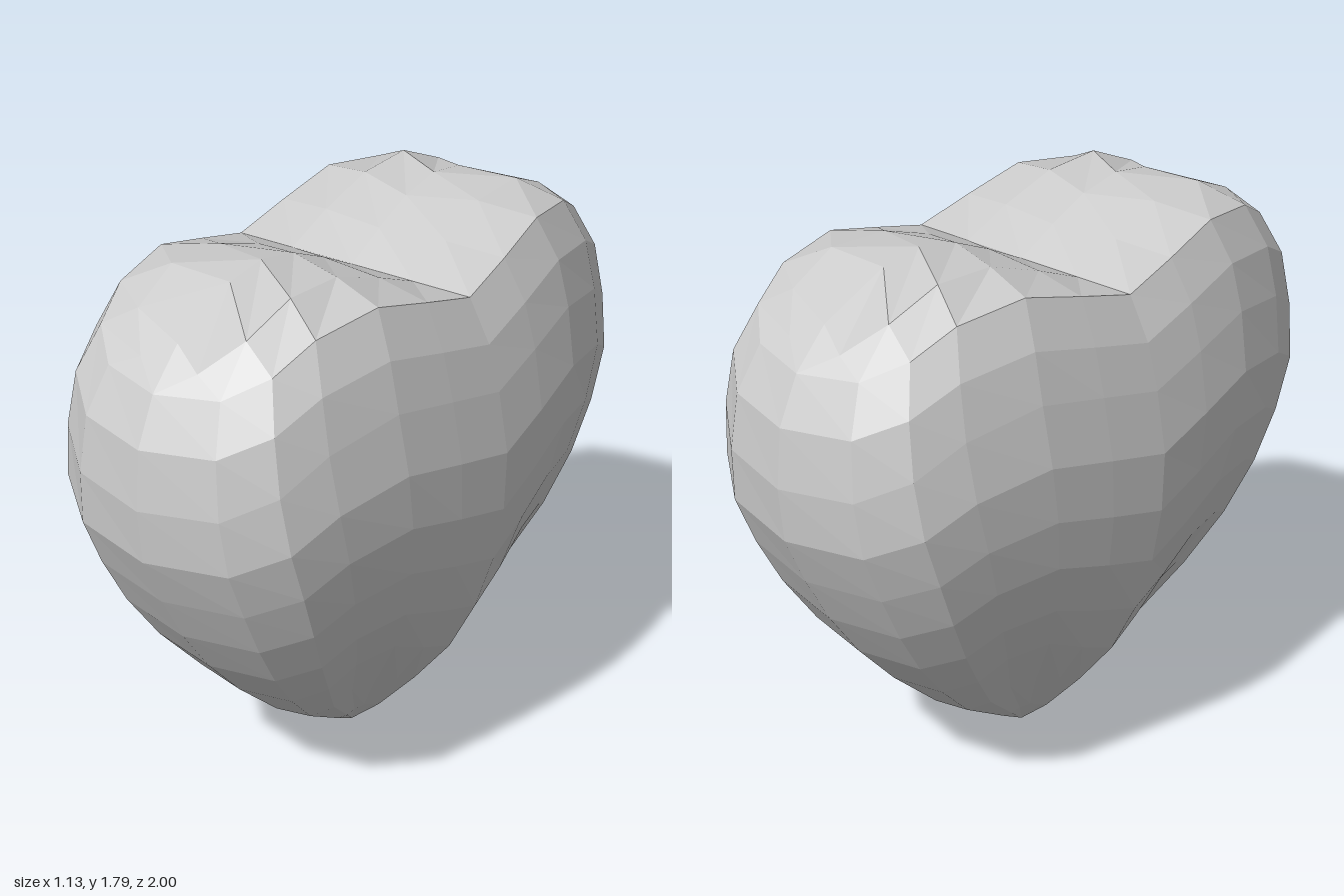
import * as THREE from 'three';

// Rings from bottom to rim: y at the side middle, y at the lobe end, half width x, half depth z
const RINGS = [
  [0, 0, 0, 0],
  [0.10, 0.10, 0.11, 0.155],
  [0.26, 0.26, 0.25, 0.40],
  [0.43, 0.43, 0.38, 0.58],
  [0.61, 0.59, 0.47, 0.72],
  [0.80, 0.75, 0.53, 0.83],
  [0.98, 0.91, 0.56, 0.915],
  [1.17, 1.07, 0.565, 0.985],
  [1.36, 1.24, 0.53, 1.0],
  [1.50, 1.42, 0.49, 0.98],
  [1.63, 1.56, 0.42, 0.91],
];

// Quarter outline of a ring, from the side middle to the lobe end
const FX = [1, 0.97, 0.92, 0.82, 0.72, 0.47, 0];
const FZ = [0, 0.22, 0.45, 0.70, 0.85, 0.95, 1];
const HUMP = [0, 0.055, 0.12, 0.115, 0.06, 0.01, 0];

// Lobe top rows: z and y of the centre line, then x, z and y of the line beside it
const CAP = [
  [0, 1.63, 0.22, 0, 1.63],
  [0.14, 1.70, 0.22, 0.17, 1.70],
  [0.28, 1.76, 0.21, 0.36, 1.765],
  [0.43, 1.79, 0.21, 0.57, 1.775],
  [0.57, 1.77, 0.19, 0.74, 1.705],
  [0.80, 1.67, 0.10, 0.84, 1.62],
  [0.91, 1.56, 0, 0.91, 1.56],
];

function ringPoint(k, q, sx, sz) {
  const [y0, y1, hx, hz] = RINGS[k];
  const lift = HUMP[q] * Math.min(1, y0 / 0.35);
  const y = y0 + (y1 - y0) * FZ[q] ** 2 + lift;
  return [sx * hx * FX[q], y, sz * hz * FZ[q]];
}

// Full ring of 24 points, running from +x towards +z
function ring(k) {
  const points = [];
  for (let i = 0; i < 24; i++) {
    const quarter = Math.floor(i / 6), step = i % 6;
    const q = quarter % 2 ? 6 - step : step;
    const sx = quarter === 0 || quarter === 3 ? 1 : -1;
    points.push(ringPoint(k, q, sx, quarter < 2 ? 1 : -1));
  }
  return points;
}

// Row across a lobe top, from -x to +x
function capRow(j, sz) {
  const [cz, cy, mx, mz, my] = CAP[j];
  const top = RINGS.length - 1;
  return [
    ringPoint(top, j, -1, sz),
    [-mx, my, sz * mz],
    [0, cy, sz * cz],
    [mx, my, sz * mz],
    ringPoint(top, j, 1, sz),
  ];
}

function facetedMesh(name, quads) {
  const positions = [];
  const corner = () => new THREE.Vector3();
  const tri = new THREE.Triangle(corner(), corner(), corner());
  for (const [a, b, c, d] of quads) {
    for (const t of [[a, b, c], [a, c, d]]) {
      tri.a.fromArray(t[0]);
      tri.b.fromArray(t[1]);
      tri.c.fromArray(t[2]);
      if (tri.getArea() > 1e-7) positions.push(...t.flat());
    }
  }
  const geometry = new THREE.BufferGeometry();
  geometry.setAttribute('position', new THREE.Float32BufferAttribute(positions, 3));
  geometry.computeVertexNormals();
  const material = new THREE.MeshStandardMaterial({ color: 0xcccccc, flatShading: true });
  const mesh = new THREE.Mesh(geometry, material);
  mesh.name = name;
  return mesh;
}

export function createModel() {
  const group = new THREE.Group();
  group.name = 'heart';

  // Body: stacked rings from the bottom point to the upper rim
  const body = [];
  for (let k = 0; k < RINGS.length - 1; k++) {
    const low = ring(k), high = ring(k + 1);
    for (let i = 0; i < 24; i++) {
      const n = (i + 1) % 24;
      body.push([low[i], high[i], high[n], low[n]]);
    }
  }
  group.add(facetedMesh('heartBody', body));

  // Lobe tops: mirrored on either side of the central crease
  for (const sz of [1, -1]) {
    const lobe = [];
    for (let j = 0; j < CAP.length - 1; j++) {
      const near = capRow(j, sz), far = capRow(j + 1, sz);
      for (let i = 0; i < 4; i++) {
        const quad = [near[i], far[i], far[i + 1], near[i + 1]];
        lobe.push(sz > 0 ? quad : quad.reverse());
      }
    }
    group.add(facetedMesh(sz > 0 ? 'frontLobeTop' : 'backLobeTop', lobe));
  }
  return group;
}
